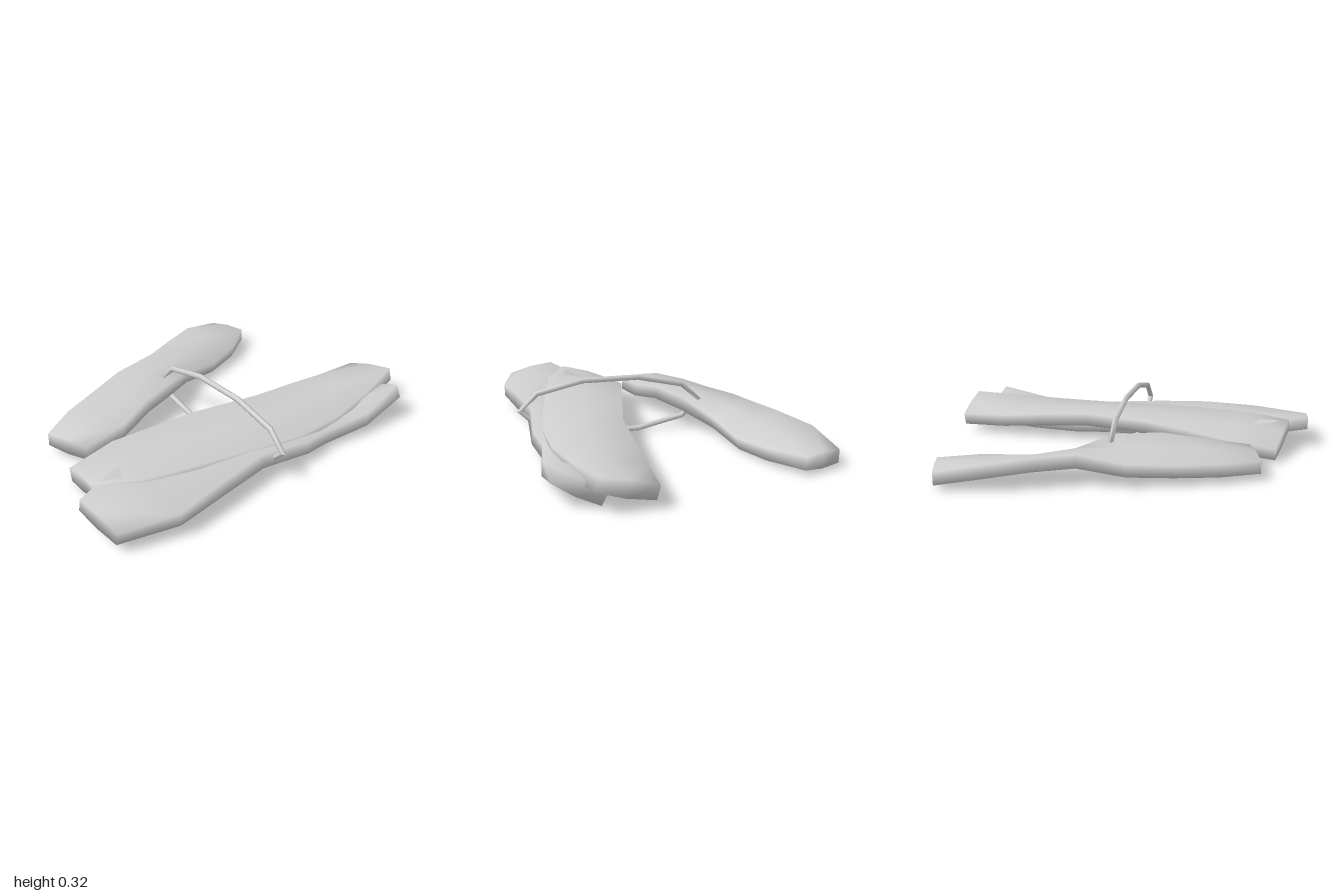
import * as THREE from 'three';

// Cross-section of a strip: [across (1 = front edge), height], going front, top, back, bottom
const SECTION = [[1, -0.034], [1, 0.034], [0, 0.044], [-1, 0.034], [-1, -0.034], [0, -0.044]];

// Wavy flat strip lofted through stations: [frontX, frontY, frontZ, backX, backY, backZ]
function stripGeometry(stations) {
  const pos = [], index = [], n = SECTION.length;
  for (const [fx, fy, fz, bx, by, bz] of stations) {
    const front = new THREE.Vector3(fx, fy, fz), back = new THREE.Vector3(bx, by, bz);
    const centre = front.clone().add(back).multiplyScalar(0.5);
    const across = front.clone().sub(back).multiplyScalar(0.5);
    const up = new THREE.Vector3(0, across.z, -across.y).normalize();
    for (const [u, v] of SECTION) {
      const p = centre.clone().addScaledVector(across, u).addScaledVector(up, v);
      pos.push(p.x, p.y, p.z);
    }
  }

  // Skin
  const last = (stations.length - 1) * n;
  for (let i = 0; i < last; i += n) {
    for (let j = 0; j < n; j++) {
      const k = (j + 1) % n;
      index.push(i + j, i + n + j, i + k, i + n + j, i + n + k, i + k);
    }
  }

  // Ends share the skin's corners, so the shading rolls over them
  for (const [a, b, c, d] of [[0, 1, 2, 5], [5, 2, 3, 4]]) {
    index.push(a, b, c, a, c, d);
    index.push(last + a, last + c, last + b, last + a, last + d, last + c);
  }

  const geo = new THREE.BufferGeometry();
  geo.setAttribute('position', new THREE.Float32BufferAttribute(pos, 3));
  geo.setIndex(index);
  geo.computeVertexNormals();
  return geo;
}

// Ten-sided oval wire standing in the z-y plane
function ovalWireGeometry(halfLength, halfHeight, wire) {
  const geo = new THREE.TorusGeometry(1, wire, 8, 10);
  const p = geo.attributes.position;
  for (let i = 0; i < p.count; i++) {
    const x = p.getX(i), y = p.getY(i);
    const r = Math.hypot(x, y), off = r - 1;
    const c = x / r, s = y / r;
    // offset the wire along the oval's outward direction
    const n = new THREE.Vector2(c * halfHeight, s * halfLength).normalize();
    p.setXY(i, c * halfLength + n.x * off, s * halfHeight + n.y * off);
  }
  geo.rotateY(-Math.PI / 2);
  geo.computeVertexNormals();
  return geo;
}

export function createModel() {
  const group = new THREE.Group();
  const grey = new THREE.MeshStandardMaterial({ color: 0xcccccc });
  grey.name = 'light grey';

  const strips = {
    backStrip: [
      [-0.72, 0.08, 0.02, -0.8, 0.075, -0.22],
      [-0.48, 0.105, -0.01, -0.61, 0.08, -0.34],
      [-0.27, 0.145, -0.085, -0.4, 0.085, -0.425],
      [-0.04, 0.143, -0.17, -0.18, 0.1, -0.51],
      [0.14, 0.085, -0.29, 0.06, 0.135, -0.53],
      [0.38, 0.046, -0.35, 0.25, 0.13, -0.62],
      [0.59, 0.06, -0.42, 0.47, 0.11, -0.72],
      [0.78, 0.07, -0.55, 0.71, 0.065, -0.75],
    ],
    frontStrip: [
      [-0.97, 0.09, 0.67, -1.0, 0.137, 0.42],
      [-0.68, 0.1, 0.74, -0.72, 0.115, 0.29],
      [-0.4, 0.12, 0.7, -0.42, 0.06, 0.36],
      [-0.12, 0.12, 0.65, -0.13, 0.05, 0.36],
      [0.17, 0.09, 0.665, 0.15, 0.05, 0.36],
      [0.32, 0.07, 0.635, 0.32, 0.046, 0.34],
      [0.6, 0.09, 0.665, 0.6, 0.046, 0.36],
      [0.87, 0.157, 0.64, 0.9, 0.046, 0.43],
    ],
    middleStrip: [
      [-0.9, 0.133, 0.37, -0.85, 0.046, 0.08],
      [-0.67, 0.13, 0.48, -0.59, 0.085, 0.055],
      [-0.4, 0.125, 0.53, -0.36, 0.11, 0.1],
      [-0.08, 0.115, 0.58, -0.13, 0.13, 0.14],
      [0.17, 0.1, 0.61, 0.22, 0.13, 0.205],
      [0.45, 0.105, 0.6, 0.5, 0.11, 0.205],
      [0.72, 0.125, 0.55, 0.72, 0.09, 0.205],
      [0.99, 0.153, 0.48, 0.97, 0.082, 0.21],
    ],
  };
  for (const [name, stations] of Object.entries(strips)) {
    const mesh = new THREE.Mesh(stripGeometry(stations), grey);
    mesh.name = name;
    group.add(mesh);
  }

  // Wire loop around the strips
  const loop = new THREE.Mesh(ovalWireGeometry(0.485, 0.151, 0.015), grey);
  loop.name = 'wireLoop';
  loop.position.set(-0.045, 0.165, 0.22);
  group.add(loop);

  return group;
}
